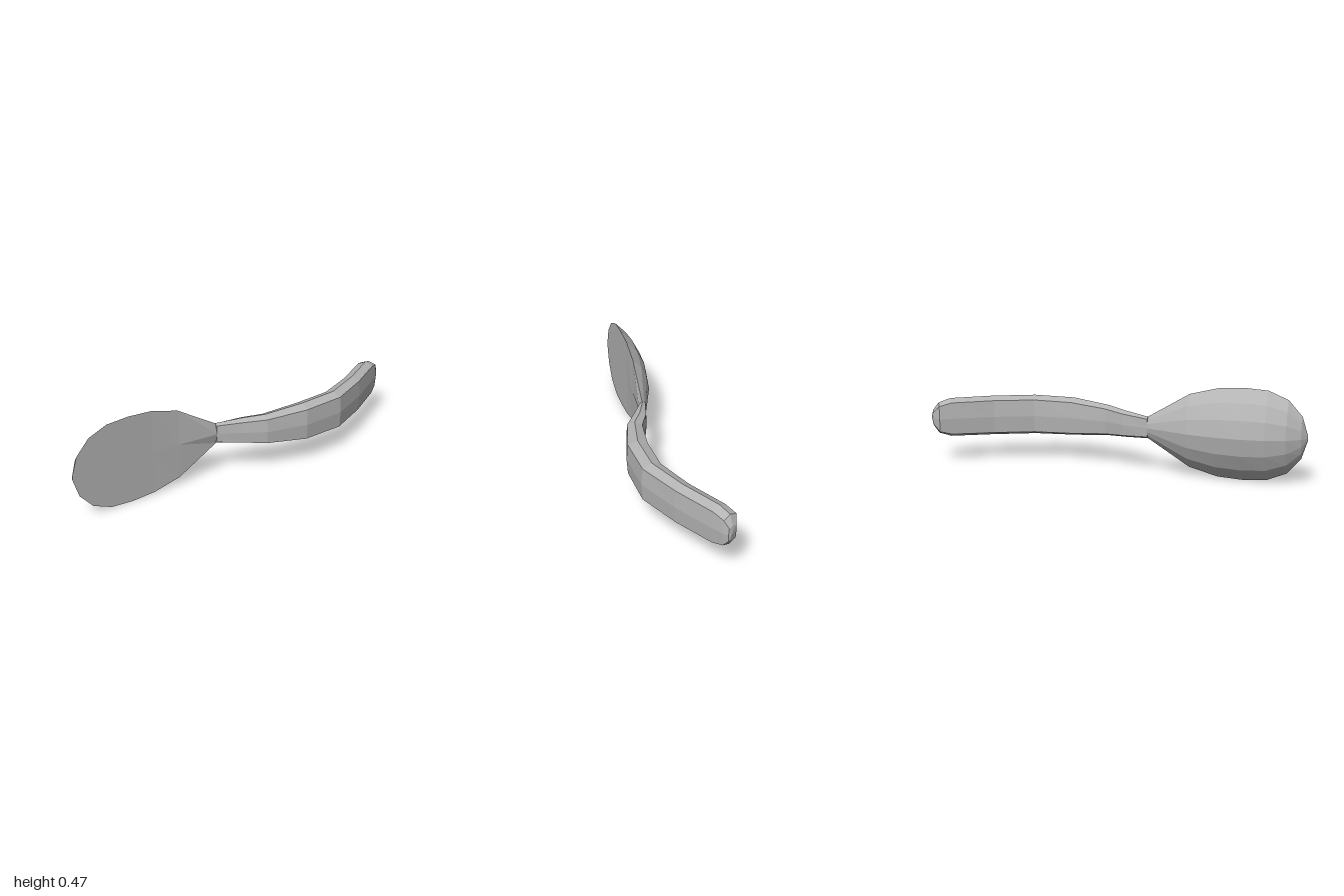
import * as THREE from 'three';

const CENTRE_Y = 0.237;

// Skin a list of closed rings (each running y -> z as the loft travels along +x)
function loft(rings) {
  const pos = [];
  const n = rings[0].length;
  const tri = (a, b, c) => {
    const area = new THREE.Vector3().crossVectors(b.clone().sub(a), c.clone().sub(a)).length();
    if (area > 1e-9) pos.push(...a.toArray(), ...b.toArray(), ...c.toArray());
  };
  for (let i = 0; i < rings.length - 1; i++) {
    for (let j = 0; j < n; j++) {
      const k = (j + 1) % n;
      const [a, b, c, d] = [rings[i][j], rings[i][k], rings[i + 1][k], rings[i + 1][j]];
      tri(a, b, c);
      tri(a, c, d);
    }
  }
  const geometry = new THREE.BufferGeometry();
  geometry.setAttribute('position', new THREE.Float32BufferAttribute(pos, 3));
  geometry.computeVertexNormals();
  return geometry;
}

// Handle: a crowned, bevelled bar swept along a curve in the xz plane
function handleGeometry() {
  // x, z, half width, half thickness
  const path = [
    [-0.18, -0.04, 0, 0], [-0.18, -0.04, 0.057, 0.018], [-0.05, 0.012, 0.07, 0.036],
    [0.06, 0.07, 0.082, 0.044], [0.27, 0.112, 0.103, 0.057], [0.49, 0.103, 0.107, 0.056],
    [0.7, 0.015, 0.107, 0.05], [0.9, -0.098, 0.104, 0.049], [0.955, -0.13, 0.083, 0.048],
    [0.986, -0.133, 0.042, 0.027], [1.0, -0.125, 0, 0],
  ];
  const section = [[1, 0], [0.82, 0.88], [0, 1], [-0.82, 0.88], [-1, 0], [-0.82, -0.88], [0, -1], [0.82, -0.88]];
  return loft(path.map(([x, z, w, t], i) => {
    const p = path[Math.max(i - 1, 0)], q = path[Math.min(i + 1, path.length - 1)];
    let [dx, dz] = [q[0] - p[0], q[1] - p[1]];
    if (i < 2) [dx, dz] = [1, 0];
    if (i > 7) [dx, dz] = [0.87, -0.49];
    const len = Math.hypot(dx, dz);
    return section.map(([u, v]) => new THREE.Vector3(
      x - (dz / len) * v * t, CENTRE_Y + u * w, z + (dx / len) * v * t));
  }));
}

// Bowl: flat front and a domed back, narrowing to the neck
function bowlGeometry() {
  // x, half height, rim z, front centre z, back z
  const stations = [
    [-1, 0, -0.05, -0.05, -0.05], [-1, 0.012, -0.05, -0.05, -0.054], [-0.97, 0.108, -0.05, -0.05, -0.09],
    [-0.9, 0.187, -0.05, -0.05, -0.135], [-0.8, 0.229, -0.05, -0.05, -0.165],
    [-0.68, 0.237, -0.05, -0.05, -0.175], [-0.55, 0.229, -0.05, -0.05, -0.167],
    [-0.4, 0.19, -0.046, -0.041, -0.138], [-0.18, 0.057, -0.036, -0.021, -0.06],
    [-0.18, 0, -0.04, -0.04, -0.04],
  ];
  const back = [[-1, 0], [-0.72, 0.53], [-0.38, 0.86], [0, 1], [0.38, 0.86], [0.72, 0.53]];
  return loft(stations.map(([x, h, rim, front, deep]) => [
    new THREE.Vector3(x, CENTRE_Y + h, rim),
    new THREE.Vector3(x, CENTRE_Y, front),
    ...back.map(([u, v]) => new THREE.Vector3(x, CENTRE_Y + u * h, rim + (deep - rim) * v)),
  ]));
}

export function createModel() {
  const metal = new THREE.MeshStandardMaterial({ color: 0xb4b4b4, flatShading: true });
  metal.name = 'grey metal';

  const spoon = new THREE.Group();
  spoon.name = 'spoon';
  const parts = { handle: handleGeometry(), bowl: bowlGeometry() };
  for (const [name, geometry] of Object.entries(parts)) {
    const mesh = new THREE.Mesh(geometry, metal);
    mesh.name = name;
    spoon.add(mesh);
  }
  return spoon;
}
